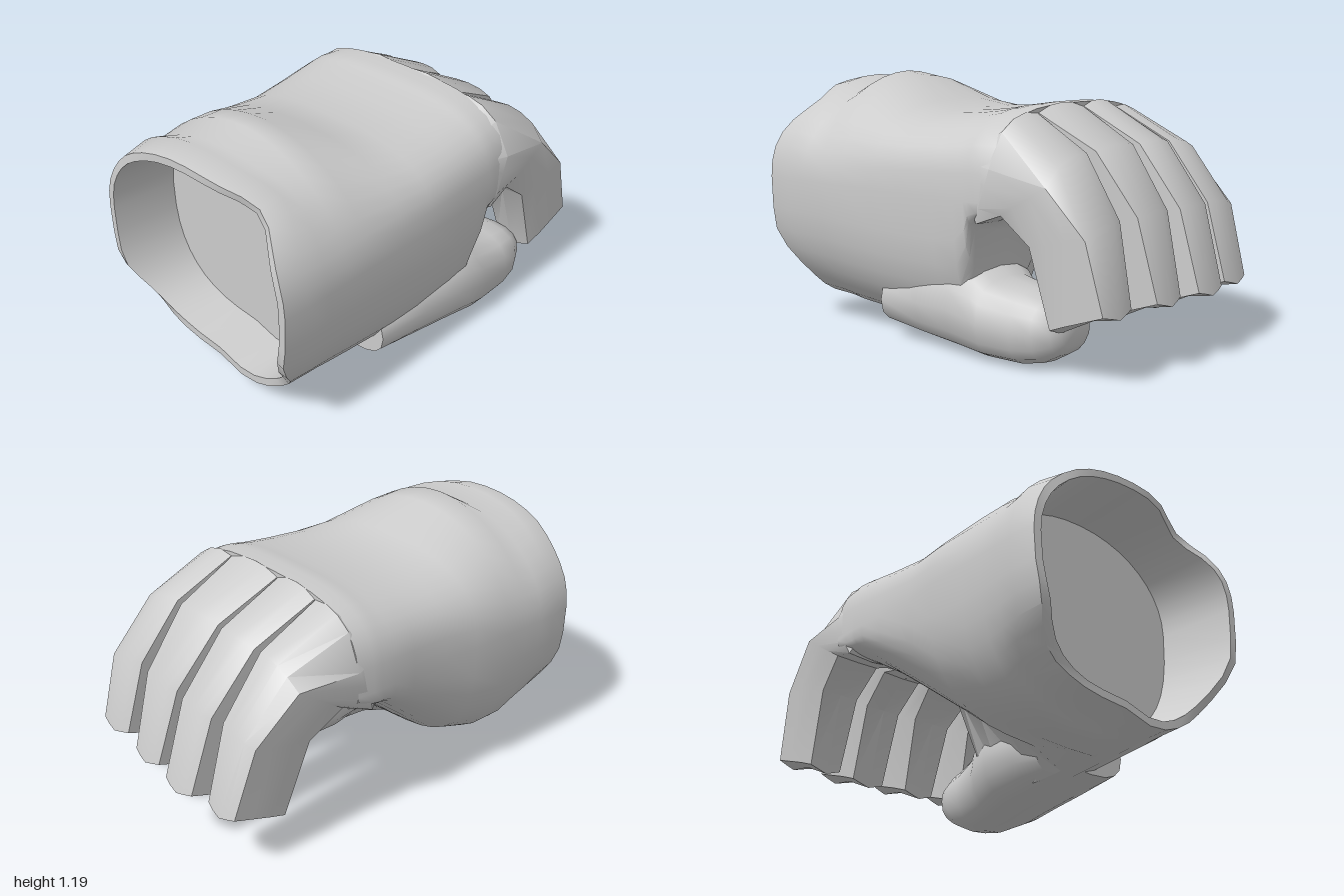
import * as THREE from 'three';
import { toCreasedNormals } from 'three/addons/utils/BufferGeometryUtils.js';

const { lerp, smoothstep } = THREE.MathUtils;
const material = new THREE.MeshStandardMaterial({ color: 0xcccccc });

// Skin a list of rings (arrays of [x, y, z]) and close both ends.
function loft(rings, crease) {
  const n = rings[0].length, pos = [], index = [];
  rings.forEach((ring) => ring.forEach((p) => pos.push(...p)));
  for (let i = 0; i < rings.length - 1; i++) {
    for (let j = 0; j < n; j++) {
      const k = (j + 1) % n, a = i * n, b = a + n;
      index.push(a + j, b + j, a + k, b + j, b + k, a + k);
    }
  }
  [0, rings.length - 1].forEach((r, end) => {
    const c = pos.length / 3;
    pos.push(...[0, 1, 2].map((m) => rings[r].reduce((s, p) => s + p[m], 0) / n));
    for (let j = 0; j < n; j++) {
      const a = r * n + j, b = r * n + (j + 1) % n;
      index.push(c, end ? b : a, end ? a : b);
    }
  });
  const g = new THREE.BufferGeometry();
  g.setAttribute('position', new THREE.Float32BufferAttribute(pos, 3));
  g.setIndex(index);
  return toCreasedNormals(g, crease);
}

const power = (v, p) => Math.sign(v) * Math.abs(v) ** p;
const MID = 0.7; // height of the widest line of the hand

// Hand cross-section: separate roundness above and below, and an underside
// that differs between the thumb side and the little-finger side.
function handRing([x, top, zFront, zBack, lowFront, lowBack, nTop, nLow], inset = 0) {
  const ring = [], sides = 40;
  const zc = (zFront + zBack) / 2, rz = (zFront - zBack) / 2 - inset;
  for (let j = 0; j < sides; j++) {
    const a = (j / sides) * Math.PI * 2, up = Math.sin(a) > 0;
    const p = 2 / (up ? nTop : nLow);
    const z = zc + rz * power(Math.cos(a), p);
    const s = power(Math.sin(a), p);
    const low = lerp(lowBack, lowFront, smoothstep(z, -0.05, 0.2)) + inset;
    const y = MID + s * (up ? top - inset - MID : MID - low);
    // cuff edge: cut back underneath, notched at the upper front, slightly short at the back
    const cuff = THREE.MathUtils.clamp((-0.65 - x) / 0.25, 0, 1);
    const cut = 0.14 * (1 - smoothstep(y, 0.18, 0.46))
      + 0.08 * Math.exp(-((z - 0.33) ** 2 + (y - 1.02) ** 2) / 0.02)
      + 0.05 * (1 - smoothstep(z, -0.6, -0.3))
      + 0.03 * smoothstep(y, 0.8, 1.1);
    ring.push([x + cut * cuff, y, z]);
  }
  return ring;
}

function makeHand() {
  // x, top, zFront, zBack, lowFront, lowBack, roundness above, roundness below
  const sections = [
    [-1.0, 1.14, 0.57, -0.58, 0.07, 0.13, 2.1, 2.6],
    [-0.88, 1.165, 0.58, -0.6, 0.065, 0.1, 2.1, 2.6],
    [-0.77, 1.13, 0.58, -0.6, 0.06, 0.07, 2.1, 2.6],
    [-0.65, 1.19, 0.58, -0.6, 0.05, 0.04, 1.9, 2.6],
    [-0.53, 1.17, 0.58, -0.6, 0.045, 0.05, 2.0, 2.7],
    [-0.32, 1.07, 0.58, -0.6, 0.03, 0.13, 2.6, 2.8],
    [-0.15, 1.04, 0.59, -0.58, 0.025, 0.26, 3.0, 2.8],
    [0.05, 1.05, 0.59, -0.59, 0.02, 0.42, 3.2, 2.8],
    [0.17, 1.065, 0.59, -0.6, 0.05, 0.52, 3.2, 2.8],
    [0.225, 1.075, 0.59, -0.6, 0.3, 0.56, 3.2, 3.2],
    [0.245, 1.08, 0.59, -0.6, 0.55, 0.58, 3.2, 4],
    [0.29, 1.085, 0.59, -0.6, 0.61, 0.61, 3.2, 5],
    [0.37, 1.085, 0.58, -0.59, 0.65, 0.65, 3.2, 5],
  ];
  // floor of the cuff, inner wall, rim, then the outside
  const floor = [-0.64, ...sections[0].slice(1)];
  const rings = [handRing(floor, 0.06), handRing(sections[0], 0.035), ...sections.map((s) => handRing(s))];
  return loft(rings, 0.9);
}

// Bent finger: outer and inner edge points from knuckle to tip, in x and y.
const OUTER = [[0.25, 1.02], [0.37, 1.09], [0.68, 0.93], [0.89, 0.66], [0.99, 0.28]];
const INNER = [[0.22, 0.68], [0.28, 0.6], [0.42, 0.65], [0.58, 0.54], [0.7, 0.18]];
const OUTLINE = [
  [1, 0.3], [1, 0.65], [1, 0.95], [0.5, 0.99], [0, 1], [-0.5, 0.99],
  [-1, 0.95], [-1, 0.65], [-1, 0.3], [-0.9, 0.03], [0, 0], [0.9, 0.03],
];

function makeFinger({ base, tip, dx }) {
  const rings = OUTER.map((o, i) => {
    const q = INNER[i], t = Math.max(0, (i - 1) / 3), shrink = i ? 1 : 0.95;
    const lo = lerp(base[0], tip[0], t), hi = lerp(base[1], tip[1], t);
    return OUTLINE.map(([u, v]) => {
      const z = ((lo + hi) / 2 + u * (hi - lo) / 2) * shrink;
      // follow the rounded back of the hand at the knuckle, fading towards the tip
      const fall = (1.085 - MID) * (1 - (1 - Math.min(1, Math.abs(z) / 0.6) ** 3.2) ** (1 / 3.2));
      const point = i === 4 ? 0.03 * Math.abs(u) : 0;
      return [lerp(q[0], o[0], v) + dx * t, lerp(q[1], o[1], v) - fall * v * (1 - t) + point, z];
    });
  });
  return loft(rings, 0.65);
}

function makeThumb() {
  // x, yLow, yHigh, zBack, zFront
  const sections = [
    [-0.35, 0.06, 0.3, 0.1, 0.5],
    [-0.1, 0.025, 0.4, 0.05, 0.54],
    [0.1, 0.012, 0.42, 0.06, 0.57],
    [0.24, 0.005, 0.39, 0.11, 0.585],
    [0.28, 0.005, 0.355, 0.13, 0.58],
    [0.45, 0.01, 0.33, 0.19, 0.57],
    [0.55, 0.03, 0.31, 0.21, 0.55],
    [0.62, 0.07, 0.275, 0.235, 0.51],
    [0.65, 0.11, 0.235, 0.27, 0.47],
  ];
  const sides = 16;
  const rings = sections.map(([x, y0, y1, z0, z1]) => Array.from({ length: sides }, (_, j) => {
    const a = (j / sides) * Math.PI * 2;
    return [
      x,
      (y0 + y1) / 2 + (y1 - y0) / 2 * power(Math.sin(a), 0.78),
      (z0 + z1) / 2 + (z1 - z0) / 2 * power(Math.cos(a), 0.78),
    ];
  }));
  return loft(rings, 0.8);
}

export function createModel() {
  const group = new THREE.Group();
  group.name = 'glovedHand';
  const add = (name, geometry) => {
    const mesh = new THREE.Mesh(geometry, material);
    mesh.name = name;
    group.add(mesh);
  };

  add('palmAndCuff', makeHand());
  add('thumb', makeThumb());

  // z range at the knuckle and at the tip, and reach of the tip
  const fingers = {
    indexFinger: { base: [0.27, 0.59], tip: [0.36, 0.56], dx: -0.06 },
    middleFinger: { base: [-0.06, 0.265], tip: [0.05, 0.23], dx: -0.02 },
    ringFinger: { base: [-0.31, -0.065], tip: [-0.24, -0.05], dx: 0.01 },
    littleFinger: { base: [-0.595, -0.315], tip: [-0.5, -0.32], dx: -0.02 },
  };
  for (const [name, spec] of Object.entries(fingers)) add(name, makeFinger(spec));
  return group;
}
